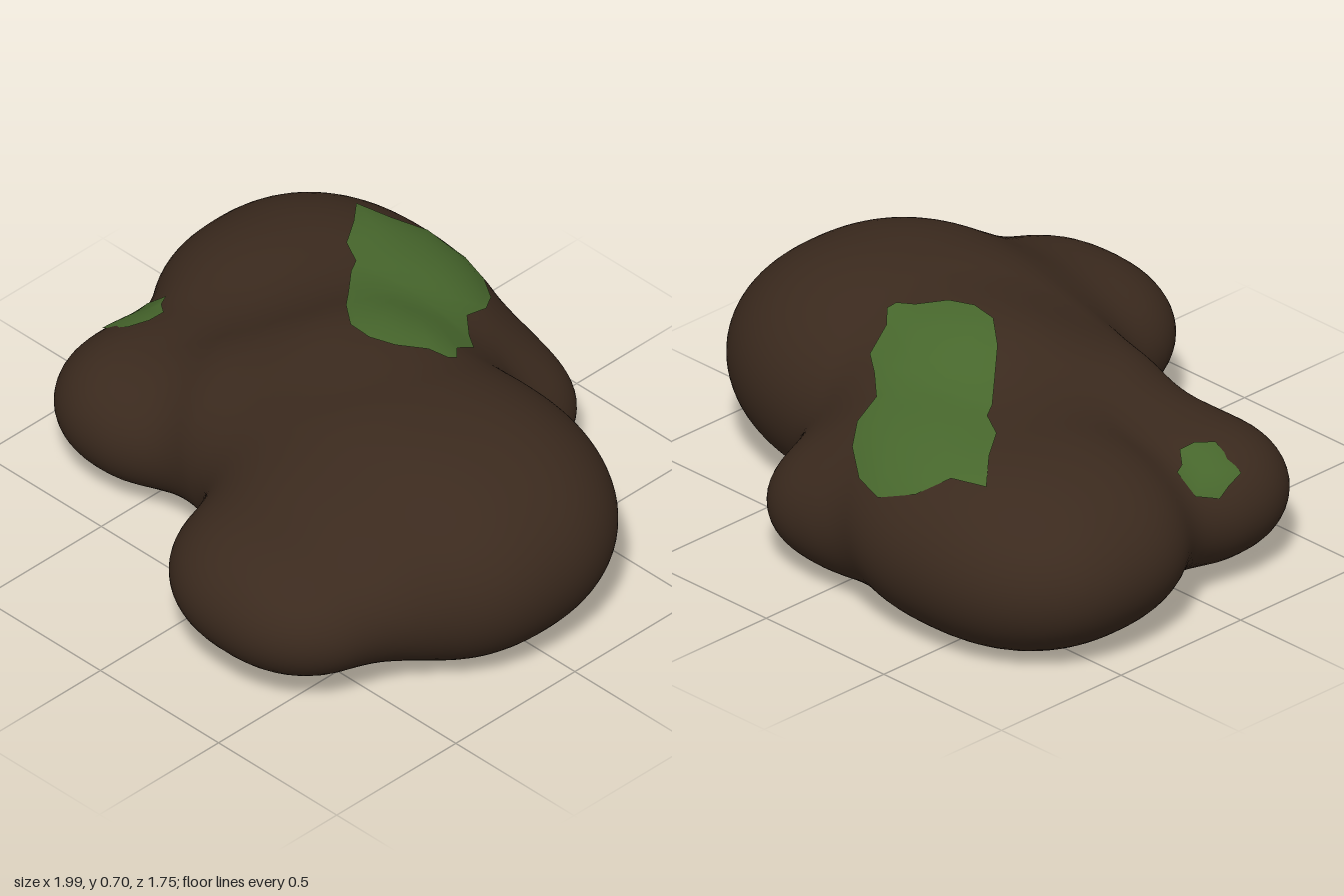
import * as THREE from 'three';
import { mergeVertices } from 'three/addons/utils/BufferGeometryUtils.js';

// Lobes of the mound: centre, then radii
const LOBES = [
  [0.40, 0.325, 0.035, 0.59, 0.37, 0.51],   // large left body
  [-0.08, 0.30, 0.04, 0.50, 0.30, 0.39],    // middle
  [0.00, 0.34, -0.11, 0.37, 0.335, 0.34],   // crest
  [-0.10, 0.29, -0.32, 0.39, 0.28, 0.40],   // ramp under the large moss patch
  [-0.45, 0.27, -0.41, 0.55, 0.31, 0.465],  // back right
  [-0.60, 0.24, 0.165, 0.295, 0.21, 0.295], // front right
  [0.345, 0.285, 0.48, 0.39, 0.235, 0.39],  // front
  [0.08, 0.20, -0.56, 0.25, 0.18, 0.24],    // small back
];
const BLEND = 0.1;

// Smoothly blended distance to the lobes, which are squarer in plan than in height
function field(p) {
  let d = 10;
  for (const [x, y, z, a, b, c] of LOBES) {
    const k = Math.pow(Math.abs((p.x - x) / a), 2.3) + Math.pow(Math.abs((p.y - y) / b), 2)
      + Math.pow(Math.abs((p.z - z) / c), 2.3);
    const e = (Math.pow(k, 0.45) - 1) * Math.min(a, b, c);
    const h = Math.max(BLEND - Math.abs(d - e), 0) / BLEND;
    d = Math.min(d, e) - h * h * BLEND / 4;
  }
  return d;
}

// Walk from a start point along a direction until the surface is met
function march(start, dir) {
  const p = start.clone();
  for (let i = 0; i < 90; i++) {
    const d = field(p);
    if (d < 0.0005) break;
    p.addScaledVector(dir, d * 0.8);
  }
  return p;
}

// Closed mound with a flat base
function moundGeometry() {
  let geo = new THREE.IcosahedronGeometry(1, 34);
  geo.deleteAttribute('uv');
  geo.deleteAttribute('normal');
  geo = mergeVertices(geo, 1e-5);
  const pos = geo.attributes.position;
  const core = new THREE.Vector3(0.02, 0.26, 0);
  const dir = new THREE.Vector3();
  for (let i = 0; i < pos.count; i++) {
    dir.fromBufferAttribute(pos, i).normalize();
    const p = march(core.clone().addScaledVector(dir, 1.5), dir.clone().negate());
    pos.setXYZ(i, p.x, Math.max(p.y, 0), p.z);
  }
  geo.computeVertexNormals();
  return geo;
}

// Thin patch draped over the mound, from an outline of [x, z] points
function patchGeometry(outline, rings) {
  const n = outline.length;
  const cx = outline.reduce((s, p) => s + p[0], 0) / n;
  const cz = outline.reduce((s, p) => s + p[1], 0) / n;
  const down = new THREE.Vector3(0, -1, 0);
  const verts = [], index = [];
  const add = (x, z) => {
    const p = march(new THREE.Vector3(x, 1.2, z), down);
    verts.push(x, p.y + 0.007, z);
  };
  add(cx, cz);
  for (let r = 1; r <= rings; r++) {
    for (const [x, z] of outline) add(cx + (x - cx) * r / rings, cz + (z - cz) * r / rings);
  }
  for (let i = 0; i < n; i++) {
    const j = (i + 1) % n;
    index.push(0, 1 + j, 1 + i);
    for (let r = 1; r < rings; r++) {
      const a = 1 + (r - 1) * n, b = a + n;
      index.push(a + i, a + j, b + i, a + j, b + j, b + i);
    }
  }
  const geo = new THREE.BufferGeometry();
  geo.setAttribute('position', new THREE.Float32BufferAttribute(verts, 3));
  geo.setIndex(index);
  geo.computeVertexNormals();
  return geo;
}

export function createModel() {
  const group = new THREE.Group();
  group.name = 'mossyMound';
  const earth = new THREE.MeshStandardMaterial({ color: 0x3b2a1e });
  earth.name = 'dark brown earth';
  const moss = new THREE.MeshStandardMaterial({ color: 0x48682d });
  moss.name = 'green moss';

  const add = (name, geo, mat) => {
    const mesh = new THREE.Mesh(geo, mat);
    mesh.name = name;
    group.add(mesh);
  };
  add('mound', moundGeometry(), earth);

  // Moss patches
  add('largeMossPatch', patchGeometry([
    [-0.59, -0.66], [-0.47, -0.69], [-0.4, -0.77], [-0.27, -0.8], [-0.15, -0.76], [-0.04, -0.68],
    [0.02, -0.6], [0.04, -0.5], [0.13, -0.42], [0.2, -0.37], [0.22, -0.28], [0.27, -0.23],
    [0.26, -0.2], [0.2, -0.18], [0.13, -0.11], [0.05, -0.08], [-0.04, -0.09], [-0.14, -0.17],
    [-0.22, -0.26], [-0.31, -0.36], [-0.34, -0.41], [-0.43, -0.46], [-0.5, -0.56],
  ], 14), moss);
  add('smallMossPatch', patchGeometry([
    [-0.84, -0.03], [-0.77, -0.04], [-0.75, 0], [-0.7, 0.04], [-0.7, 0.1],
    [-0.73, 0.16], [-0.84, 0.16], [-0.85, 0.1], [-0.86, 0.05],
  ], 6), moss);
  return group;
}
